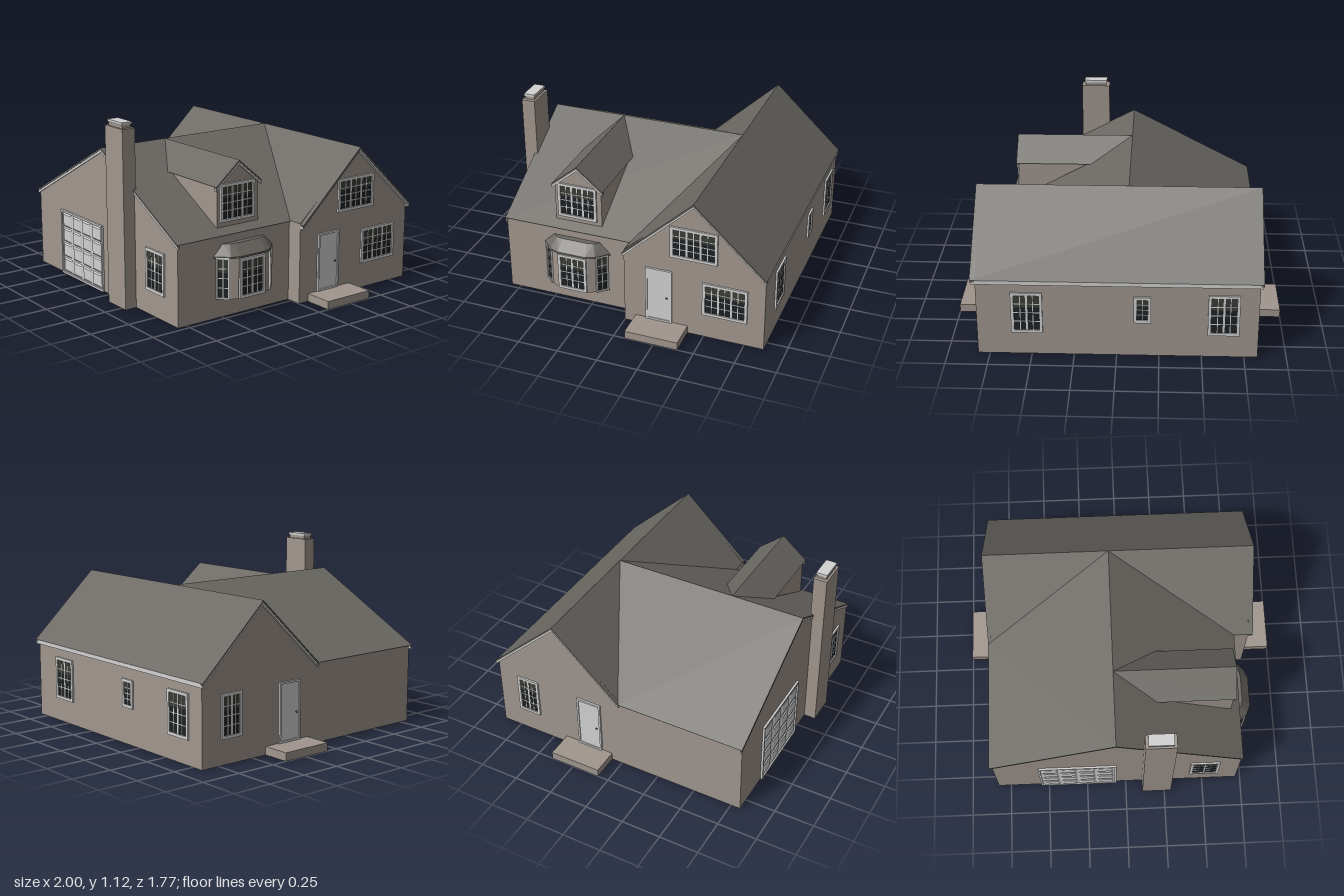
import * as THREE from 'three';
import { ConvexGeometry } from 'three/addons/geometries/ConvexGeometry.js';

const material = (name, color, side = THREE.FrontSide) => {
  const m = new THREE.MeshStandardMaterial({ color, side });
  m.name = name;
  return m;
};

export function createModel() {
  const wallMat = material('taupe wall', 0xa0968e, THREE.DoubleSide);
  const roofMat = material('grey roof', 0x6b6863, THREE.DoubleSide);
  const trimMat = material('white trim', 0xd2d2d2);
  const glassTop = material('upper glass', 0x3a3e36);
  const glassLow = material('lower glass', 0x1e2224);
  const metal = material('dark metal', 0x4a4a4a);

  const house = new THREE.Group();
  house.name = 'house';

  const mesh = (parent, name, geo, mat, x = 0, y = 0, z = 0) => {
    const m = new THREE.Mesh(geo, mat);
    m.name = name;
    m.position.set(x, y, z);
    parent.add(m);
    return m;
  };
  const box = (parent, name, mat, w, h, d, x, y, z) =>
    mesh(parent, name, new THREE.BoxGeometry(w, h, d), mat, x, y, z);
  const group = (name, x, y, z, ry = 0) => {
    const g = new THREE.Group();
    g.name = name;
    g.position.set(x, y, z);
    g.rotation.y = ry;
    house.add(g);
    return g;
  };
  // Flat sheets from convex outlines
  const sheet = (name, mat, ...polys) => {
    const pos = [];
    for (const p of polys)
      for (let i = 1; i < p.length - 1; i++) pos.push(...p[0], ...p[i], ...p[i + 1]);
    const geo = new THREE.BufferGeometry();
    geo.setAttribute('position', new THREE.Float32BufferAttribute(pos, 3));
    geo.computeVertexNormals();
    return mesh(house, name, geo, mat);
  };

  // Main dimensions
  const E = 0.49, R = 0.903, W = 0.495, P = 0.893; // eave, ridge, wall top, wall peak
  const RX = -0.06, RZ = -0.44;                    // ridge lines of wing and main block
  const L = -0.83, WR = 0.72, BR = 0.82;           // wall planes: left, wing right, block right
  const F = 0.81, B = -0.87;                       // wall planes: front, back

  // Walls
  sheet('frontWall', wallMat, [[L, 0, F], [WR, 0, F], [WR, W, F], [RX, P, F], [L, W, F]]);
  sheet('leftWall', wallMat,
    [[L, 0, B], [L, 0, 0], [L, W, 0], [L, P, RZ], [L, W, B]],
    [[L, 0, 0], [L, 0, F], [L, W, F], [L, W, 0]]);
  sheet('rightGableWall', wallMat, [[BR, 0, 0], [BR, 0, B], [BR, W, B], [BR, P, RZ], [BR, W, 0]]);
  sheet('wingRightWall', wallMat, [[WR, 0, F], [WR, 0, 0], [WR, W, 0], [WR, W, F]]);
  sheet('returnWall', wallMat, [[WR, 0, 0], [BR, 0, 0], [BR, W, 0], [WR, W, 0]]);
  sheet('backWall', wallMat, [[BR, 0, B], [L, 0, B], [L, W, B], [BR, W, B]]);

  // Roofs, meeting in two valleys
  const peak = [RX, R, RZ], front = 0.818;
  sheet('mainRoof', roofMat,
    [[0.85, E, -0.88], [-0.85, E, -0.88], [-0.85, R, RZ], [0.85, R, RZ]],
    [[-0.85, E, 0], peak, [-0.85, R, RZ]],
    [[0.73, E, 0], [0.85, E, 0], [0.85, R, RZ], peak]);
  sheet('wingRoof', roofMat,
    [[-0.85, E, 0], [-0.85, E, front], [RX, R, front], peak],
    [[0.73, E, front], [0.73, E, 0], peak, [RX, R, front]]);

  // Roof edge and white board along each gable
  const rake = (name, a, top, b, depth, x, z, ry) => {
    const g = group(name, x, 0, z, ry);
    for (const [part, mat, drop, h, d] of [['roofEdge', roofMat, 0, 0.012, depth], ['rakeBoard', trimMat, 0.012, 0.015, depth * 0.8]]) {
      const lo = [a, top, b].map(([u, y]) => new THREE.Vector2(u, y - drop));
      const hi = lo.map((p) => new THREE.Vector2(p.x, p.y - h)).reverse();
      mesh(g, part, new THREE.ExtrudeGeometry(new THREE.Shape([...lo, ...hi]), { depth: d, bevelEnabled: false }), mat);
    }
  };
  rake('frontRake', [-0.85, E], [RX, R], [0.73, E], 0.013, 0, 0.805, 0);
  rake('rightRake', [0, E], [0.44, R], [0.88, E], 0.03, 0.82, 0, Math.PI / 2);
  rake('leftRake', [-0.88, E], [-0.44, R], [0, E], 0.02, -0.83, 0, -Math.PI / 2);
  box(house, 'backFascia', trimMat, 1.69, 0.025, 0.012, 0, 0.477, -0.873);

  // Dormer on the right slope of the wing
  sheet('dormerWalls', wallMat,
    [[0.67, 0.52, 0.5], [0.67, 0.52, 0.2], [0.67, 0.77, 0.2], [0.67, 0.895, 0.35], [0.67, 0.77, 0.5]],
    ...[0.2, 0.5].map((z) => [[0.67, 0.52, z], [0.67, 0.775, z], [0.2, 0.775, z]]));
  sheet('dormerRoof', roofMat,
    ...[0.185, 0.515].map((z) => [[0.685, 0.765, z], [0.685, R, 0.35], [RX, R, 0.35], [0.205, 0.765, z]]));
  rake('dormerRake', [-0.515, 0.765], [-0.35, R], [-0.185, 0.765], 0.015, 0.67, 0, Math.PI / 2);

  // Rectangular frame of four bars
  const frame = (g, w, h, t, d) => {
    for (const s of [-1, 1]) {
      box(g, 'frameSide', trimMat, t, h, d, s * (w - t) / 2, 0, 0);
      box(g, 'frameRail', trimMat, w - 2 * t, t, d, 0, s * (h - t) / 2, 0);
    }
  };
  // Window with sashes of two columns and four rows
  const addWindow = (name, w, h, sashes, x, y, z, ry = 0, t = 0.018) => {
    const g = group(name, x, y, z, ry);
    const gw = w - 2 * t, gh = h - 2 * t, cols = sashes * 2, rows = 4;
    frame(g, w, h, t, 0.022);
    box(g, 'upperGlass', glassTop, gw, gh * 0.35, 0.008, 0, gh * 0.325, 0);
    box(g, 'lowerGlass', glassLow, gw, gh * 0.65, 0.008, 0, -gh * 0.175, 0);
    for (let i = 1; i < cols; i++)
      box(g, 'upright', trimMat, i % 2 ? 0.005 : 0.012, gh, 0.013, gw * (i / cols - 0.5), 0, 0);
    for (let i = 1; i < rows; i++)
      box(g, 'crossbar', trimMat, gw, 0.005, 0.012, 0, gh * (i / rows - 0.5), 0);
  };
  const Q = Math.PI / 2;
  addWindow('frontWindow', 0.185, 0.255, 2, 0.502, 0.278, F);
  addWindow('gableWindow', 0.29, 0.205, 3, BR, 0.618, -0.435, Q);
  addWindow('lowerRightWindow', 0.275, 0.22, 3, BR, 0.27, -0.628, Q);
  addWindow('dormerWindow', 0.25, 0.225, 3, 0.67, 0.662, 0.355, Q);
  addWindow('leftWindow', 0.15, 0.26, 2, L, 0.28, -0.66, -Q);
  addWindow('backWindowLeft', 0.185, 0.265, 2, 0.525, 0.28, B, Math.PI);
  addWindow('backWindowRight', 0.185, 0.265, 2, -0.625, 0.28, B, Math.PI);
  addWindow('backWindowSmall', 0.1, 0.17, 1, -0.15, 0.31, B, Math.PI);

  // Bay window: faceted body, sloping roof, three windows
  const bayZ = 0.345;
  const ring = (y, ...half) => half.flatMap(([x, z]) => [-1, 1].map((s) => new THREE.Vector3(WR + x, y, bayZ + s * z)));
  const body = [[0, 0.2], [0.06, 0.14], [0.08, 0.1]];
  const eave = [[0, 0.215], [0.07, 0.145], [0.09, 0.09]];
  mesh(house, 'bayBody', new ConvexGeometry([...ring(0.12, ...body), ...ring(0.37, ...body)]), wallMat);
  mesh(house, 'bayRoof', new ConvexGeometry([
    ...ring(0.365, ...eave), ...ring(0.375, ...eave), ...ring(0.44, [0, 0.15], [0.025, 0.12], [0.035, 0.08])]), roofMat);
  addWindow('bayCentreWindow', 0.185, 0.24, 2, WR + 0.08, 0.24, bayZ, Q);
  addWindow('bayFrontWindow', 0.08, 0.25, 1, WR + 0.03, 0.245, bayZ + 0.17, Q / 2, 0.01);
  addWindow('bayRearWindow', 0.08, 0.25, 1, WR + 0.03, 0.245, bayZ - 0.17, Q * 1.5, 0.01);

  // Side doors with steps
  for (const [side, x, s] of [['right', BR, 1], ['left', L, -1]]) {
    const g = group(side + 'Door', x, 0.23, -0.22, s * Q);
    frame(g, 0.165, 0.36, 0.012, 0.024);
    box(g, 'doorLeaf', trimMat, 0.141, 0.34, 0.012, 0, 0, 0);
    mesh(g, 'doorKnob', new THREE.SphereGeometry(0.006, 10, 8), metal, 0.052, -0.01, 0.01);
    const w = 1 - Math.abs(x);
    box(house, side + 'Step', wallMat, w, 0.05, 0.33, s * (1 - w / 2), 0.025, -0.235);
  }

  // Garage door with four by four bevelled panels
  const garage = group('garageDoor', -0.305, 0.21, F);
  frame(garage, 0.49, 0.42, 0.012, 0.026);
  box(garage, 'garageLeaf', trimMat, 0.468, 0.4, 0.008, 0, 0, 0);
  const panel = new THREE.CylinderGeometry(0.5, 0.65, 1, 4, 1).toNonIndexed();
  panel.rotateY(Math.PI / 4).rotateX(Math.PI / 2).scale(0.115, 0.098, 0.008);
  panel.computeVertexNormals();
  for (let i = 0; i < 4; i++)
    for (let j = 0; j < 4; j++)
      for (const s of [1, -1]) {
        const p = mesh(garage, 'garagePanel', panel, trimMat, (i - 1.5) * 0.116, (j - 1.5) * 0.099, s * 0.007);
        if (s < 0) p.rotation.y = Math.PI;
      }

  // Chimney
  box(house, 'chimney', wallMat, 0.185, 1.08, 0.085, 0.2, 0.54, 0.8425);
  box(house, 'chimneyNeck', wallMat, 0.14, 0.025, 0.06, 0.2, 1.09, 0.8425);
  box(house, 'chimneyCap', trimMat, 0.15, 0.015, 0.07, 0.2, 1.108, 0.8425);

  return house;
}
